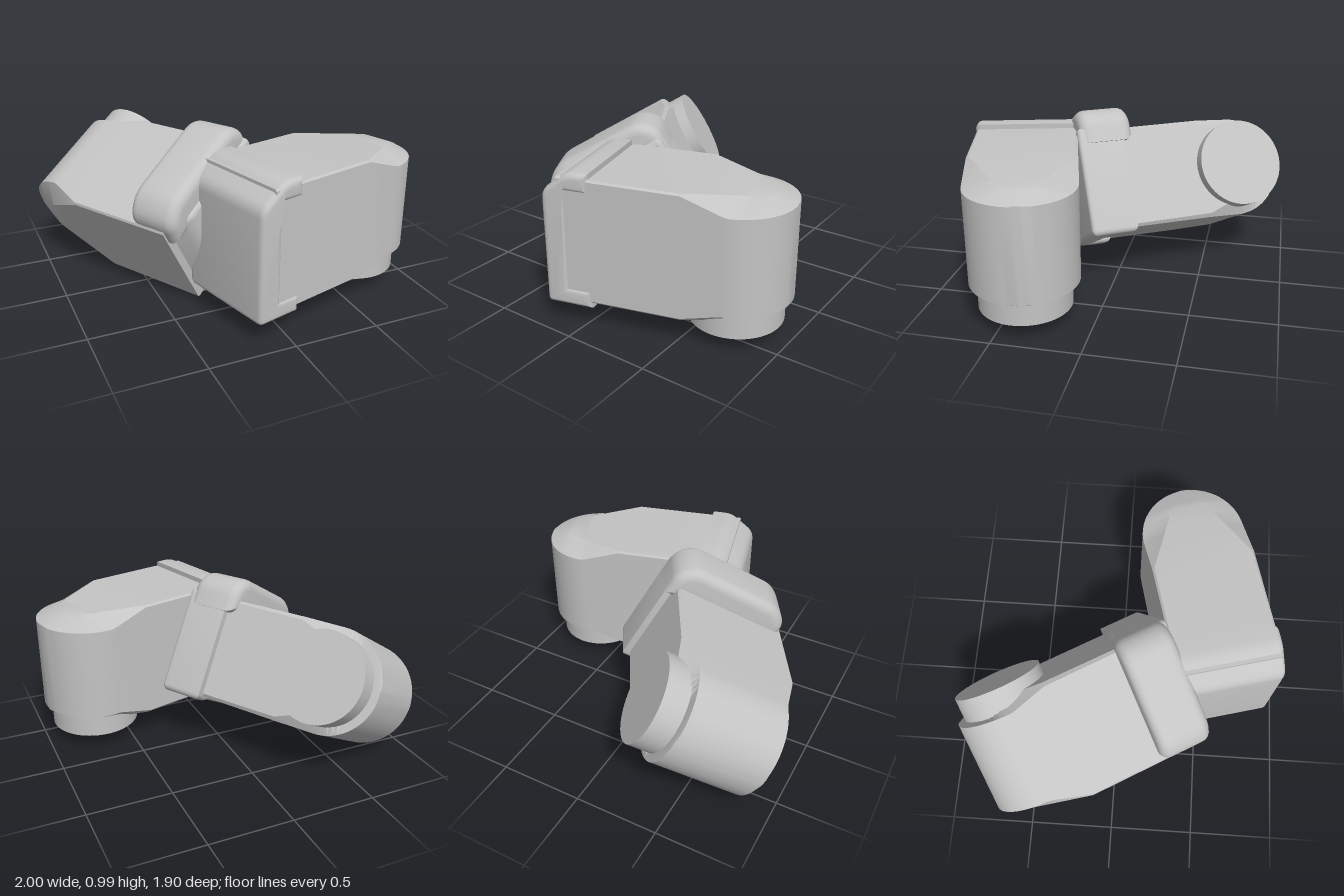
import * as THREE from 'three';
import { toCreasedNormals } from 'three/addons/utils/BufferGeometryUtils.js';

const grey = new THREE.MeshStandardMaterial({ color: 0xc4c4c4 });
grey.name = 'grey';

function part(name, geometry) {
  const mesh = new THREE.Mesh(geometry, grey);
  mesh.name = name;
  return mesh;
}

// Arm housing: eight-sided cross-sections along x, rounded at the far end.
// Section: x, half width, lower rim, upper rim, top height, top half width, bottom height, bottom half width
function housingGeometry() {
  const R = 0.31;
  const sections = [
    [-0.9, 0.305, 0.085, 0.78, 0.79, 0.295, 0.07, 0.29],
    [-0.22, 0.308, 0.09, 0.78, 0.79, 0.295, 0.07, 0.285],
    [0, R, 0.15, 0.705, 0.77, 0.185, 0.07, 0.2],
  ];
  const steps = 16;
  for (let i = 1; i <= steps; i++) {
    const a = (i / steps) * Math.PI / 2;
    const x = R * Math.sin(a);
    const w = Math.max(R * Math.cos(a), 0.004);
    const top = x < 0.18 ? 0.77 - 0.09 * x : 0.754 - 0.05 * (x - 0.18) / 0.13;
    const topWidth = Math.min(0.185 - 0.5 * x, w * 0.7);
    const bottom = THREE.MathUtils.mapLinear(THREE.MathUtils.clamp(x, 0.05, 0.15), 0.05, 0.15, 0.07, 0.145);
    sections.push([x, w, 0.15, 0.70, top, Math.max(topWidth, w * 0.35), bottom, w * 0.6]);
  }
  const rings = sections.map(([x, w, rb, rt, t, tw, b, bw]) => [
    [-w, rb], [-w, rt], [-tw, t], [tw, t], [w, rt], [w, rb], [bw, b], [-bw, b],
  ].map(([z, y]) => [x, y, z]));
  const index = [];
  const n = 8;
  const last = (rings.length - 1) * n;
  for (let i = 0; i < rings.length - 1; i++) {
    for (let j = 0; j < n; j++) {
      const a = i * n + j, b = i * n + (j + 1) % n;
      index.push(a, b, b + n, a, b + n, a + n);
    }
  }
  for (let j = 1; j < n - 1; j++) {
    index.push(0, j + 1, j, last, last + j, last + j + 1);
  }
  const g = new THREE.BufferGeometry();
  g.setAttribute('position', new THREE.Float32BufferAttribute(rings.flat(2), 3));
  g.setIndex(index);
  return toCreasedNormals(g.toNonIndexed(), 0.4);
}

// Outline whose corners [x, y, radius] are rounded where a radius is given
function roundedShape(corners) {
  const shape = new THREE.Shape();
  const count = corners.length;
  corners.forEach(([x, y, r = 0], i) => {
    const p = new THREE.Vector2(x, y);
    const toward = (k) => {
      const q = corners[(k + count) % count];
      return new THREE.Vector2(q[0], q[1]).sub(p).setLength(r).add(p);
    };
    const a = r ? toward(i - 1) : p;
    if (i === 0) shape.moveTo(a.x, a.y);
    else shape.lineTo(a.x, a.y);
    if (r) {
      const b = toward(i + 1);
      shape.quadraticCurveTo(x, y, b.x, b.y);
    }
  });
  return shape;
}

function softExtrude(shape, depth, bevel) {
  const g = new THREE.ExtrudeGeometry(shape, {
    depth: depth - 2 * bevel, bevelEnabled: true, bevelThickness: bevel,
    bevelSize: bevel, bevelOffset: -bevel, bevelSegments: 5, curveSegments: 6,
  });
  return g.translate(0, 0, bevel);
}

// C-shaped end clamp with a sloping upper edge, extruded across the width
function clampGeometry({ end, low, high, z0, z1 }) {
  const front = -0.72, inner = -0.85;
  const g = softExtrude(roundedShape([
    [end, low, 0.03], [front, low], [front, low + 0.11], [inner, low + 0.11],
    [inner, high - 0.11], [front, high - 0.11], [front, high],
    [end + 0.15, high, 0.05], [end, high - 0.12, 0.05],
  ]), z1 - z0, 0.035);
  return toCreasedNormals(g.translate(0, 0, z0), 0.6);
}

// Rounded shoulder closing one side of the clamp, extruded along the arm
function shoulderGeometry() {
  const g = softExtrude(roundedShape([
    [-0.22, 0.02], [-0.22, 0.78], [-0.36, 0.78, 0.06], [-0.45, 0.67, 0.07],
    [-0.45, 0.1, 0.07], [-0.36, 0.02, 0.05],
  ].reverse()), 0.32, 0.06);
  g.rotateY(Math.PI / 2);
  return toCreasedNormals(g.translate(-0.98, 0, 0), 0.6);
}

// One arm: housing, pivot disc at the local origin, and clamp
function makeArm(name, clamp) {
  const arm = new THREE.Group();
  arm.name = name;
  arm.add(part('housing', housingGeometry()));

  const disc = part('pivotDisc', new THREE.CylinderGeometry(0.265, 0.265, 0.14, 64));
  disc.position.y = 0.07;
  arm.add(disc);

  const neck = part('pivotNeck', new THREE.CylinderGeometry(0.25, 0.25, 0.08, 48));
  neck.position.y = 0.13;
  arm.add(neck);

  arm.add(part('clamp', clampGeometry(clamp)));
  return arm;
}

function place(arm, along, up, origin) {
  const x = new THREE.Vector3(...along).normalize();
  const y = new THREE.Vector3(...up).normalize();
  const z = new THREE.Vector3().crossVectors(x, y);
  arm.quaternion.setFromRotationMatrix(new THREE.Matrix4().makeBasis(x, y, z));
  arm.position.set(...origin);
  return arm;
}

export function createModel() {
  const model = new THREE.Group();
  model.name = 'hingedArms';

  // Level arm, pivot facing down
  const level = makeArm('levelArm', { end: -0.99, low: 0.04, high: 0.82, z0: -0.31, z1: 0.315 });
  model.add(place(level, [0.966, 0, -0.259], [0, 1, 0], [0.685, 0.09, 0.395]));

  // Tilted arm, pivot facing up and outward, with a thick shoulder on its upper side
  const tilted = makeArm('tiltedArm', { end: -1.0, low: 0.03, high: 0.78, z0: -0.335, z1: 0.32 });
  tilted.add(part('shoulder', shoulderGeometry()));
  model.add(place(tilted, [-0.5, 0, -0.866], [-0.75, -0.5, 0.433], [-0.28, 0.665, -0.71]));

  return model;
}
